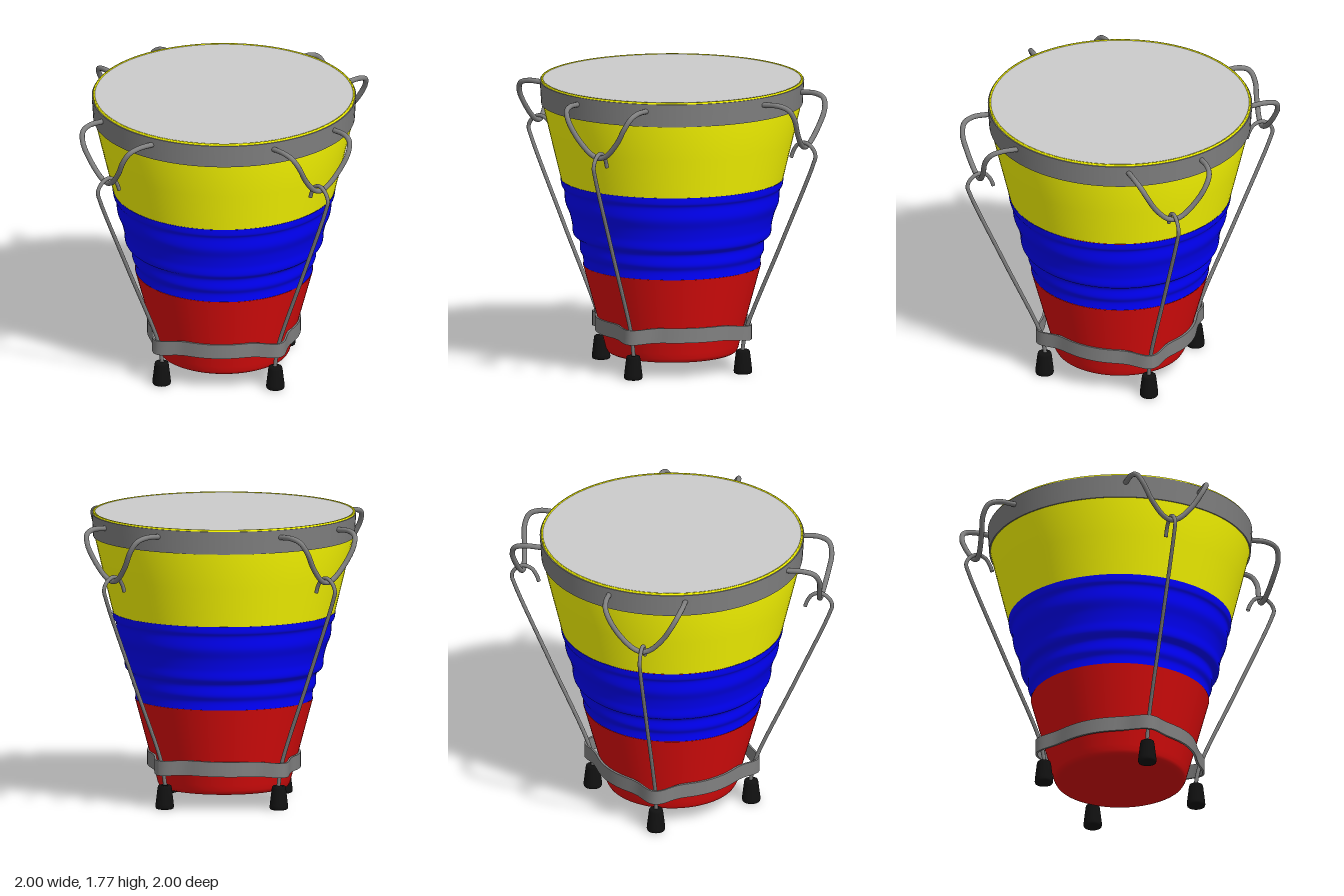
import * as THREE from 'three';

const material = (color) => new THREE.MeshStandardMaterial({ color, side: THREE.DoubleSide });
const v2 = (points) => points.map(([x, y]) => new THREE.Vector2(x, y));
const v3 = (points) => points.map((p) => new THREE.Vector3(...p));

function add(parent, name, geometry, mat) {
  const mesh = new THREE.Mesh(geometry, mat);
  mesh.name = name;
  parent.add(mesh);
  return mesh;
}

const lathe = (points, segments = 96) => new THREE.LatheGeometry(v2(points), segments);

// Round wire through the given points
const wire = (points, radius, segments) =>
  new THREE.TubeGeometry(new THREE.CatmullRomCurve3(v3(points), false, 'centripetal'), segments, radius, 10);

// Flat strap hugging the shell and bulging outward around each of the four rods
function strapGeometry() {
  const count = 160;
  const section = [[0, -0.045], [0.014, -0.045], [0.014, 0.045], [0, 0.045], [0, -0.045]];
  const positions = [], index = [];
  // each flat side of the section is its own strip, so edges stay sharp
  for (let s = 0; s < 4; s++) {
    const base = positions.length / 3;
    for (let i = 0; i <= count; i++) {
      const a = (i / count) * Math.PI * 2;
      const nearest = Math.round(a / (Math.PI / 2)) * (Math.PI / 2);
      const bump = Math.exp(-(((a - nearest) / 0.2) ** 2));
      const r = 0.45 + 0.075 * bump;
      const y = 0.265 - 0.012 * bump + 0.01 * Math.sin(a);
      for (const [dr, dy] of [section[s], section[s + 1]]) {
        positions.push((r + dr) * Math.cos(a), y + dy, (r + dr) * Math.sin(a));
      }
      if (i < count) {
        const k = base + i * 2;
        index.push(k, k + 1, k + 2, k + 1, k + 3, k + 2);
      }
    }
  }
  const geometry = new THREE.BufferGeometry();
  geometry.setAttribute('position', new THREE.Float32BufferAttribute(positions, 3));
  geometry.setIndex(index);
  geometry.computeVertexNormals();
  return geometry;
}

export function createModel() {
  const drum = new THREE.Group();
  drum.name = 'drum';
  const yellow = material(0xffff00);
  const blue = material(0x0000ff);
  const red = material(0xe00c0c);
  const steel = material(0x808080);
  const rubber = material(0x111111);
  const skin = material(0xcccccc);

  // Shell: closed red base, rippled blue middle, yellow top
  add(drum, 'lowerShell', lathe([
    [0, 0.09], [0.36, 0.09], [0.375, 0.092], [0.39, 0.1], [0.4, 0.118], [0.408, 0.15],
    [0.46, 0.34], [0.538, 0.63],
  ]), red);
  const ripples = new THREE.SplineCurve(v2([
    [0.536, 0.63], [0.538, 0.68], [0.556, 0.72], [0.56, 0.785], [0.596, 0.82], [0.604, 0.885],
    [0.62, 0.95], [0.645, 1.015], [0.652, 1.09], [0.668, 1.12], [0.674, 1.16],
  ]));
  add(drum, 'middleShell', new THREE.LatheGeometry(ripples.getPoints(60), 96), blue);
  add(drum, 'upperShell', lathe([[0.672, 1.16], [0.73, 1.4], [0.782, 1.62], [0.79, 1.74]]), yellow);
  add(drum, 'shellRim', lathe([[0.792, 1.74], [0.792, 1.77], [0.78, 1.77], [0.78, 1.755]]), yellow);

  // Drumhead and the hoop around it
  const head = add(drum, 'drumhead', new THREE.CircleGeometry(0.782, 96), skin);
  head.rotation.x = -Math.PI / 2;
  head.position.y = 1.767;
  add(drum, 'hoop', lathe([[0.79, 1.62], [0.799, 1.76]]), steel);
  add(drum, 'hoopTopEdge', lathe([[0.799, 1.76], [0.788, 1.76]]), steel);
  add(drum, 'hoopBottomEdge', lathe([[0.776, 1.62], [0.79, 1.62]]), steel);

  // Strap tying the rods to the base
  add(drum, 'strap', strapGeometry(), steel);

  // Four tension rods, each with its loop on the hoop and a rubber foot
  const halfLoop = [
    [0.755, 1.715, 0.235], [0.86, 1.717, 0.235], [0.922, 1.695, 0.222], [0.946, 1.635, 0.19],
    [0.935, 1.535, 0.13], [0.92, 1.45, 0.05],
  ];
  const loopPoints = [
    ...halfLoop, [0.916, 1.432, 0],
    ...halfLoop.map(([x, y, z]) => [x, y, -z]).reverse(),
  ];
  const loop = wire(loopPoints, 0.016, 90);
  const rod = wire([
    [0.482, 0.12, 0], [0.494, 0.2, 0], [0.52, 0.3, 0], [0.75, 0.82, 0], [0.97, 1.325, 0],
    [0.987, 1.385, 0], [0.965, 1.43, 0], [0.915, 1.458, 0], [0.865, 1.442, 0],
    [0.835, 1.4, 0], [0.82, 1.36, 0],
  ], 0.012, 120);
  const foot = lathe([
    [0, 0], [0.045, 0], [0.053, 0.004], [0.056, 0.014], [0.055, 0.03],
    [0.043, 0.13], [0.04, 0.142], [0.034, 0.146], [0, 0.146],
  ], 28);
  for (let i = 0; i < 4; i++) {
    const tensioner = new THREE.Group();
    tensioner.name = 'tensioner';
    tensioner.rotation.y = (i * Math.PI) / 2;
    add(tensioner, 'hoopLoop', loop, steel);
    add(tensioner, 'hookedRod', rod, steel);
    add(tensioner, 'foot', foot, rubber).position.x = 0.488;
    drum.add(tensioner);
  }
  return drum;
}
